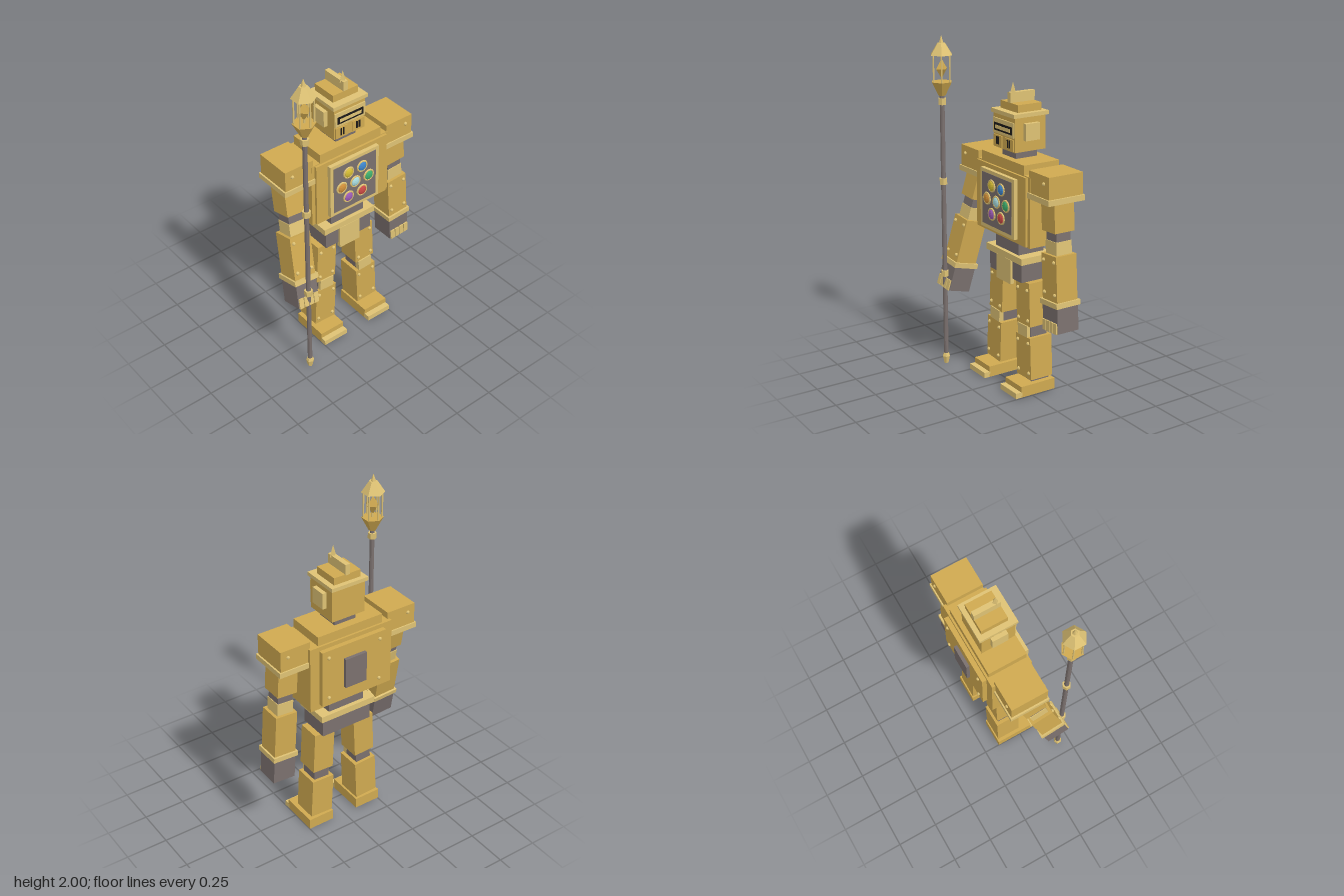
import * as THREE from 'three';

const paint = (color) => new THREE.MeshStandardMaterial({ color, flatShading: true });
const gold = paint(0xcfa950), pale = paint(0xdec274), steel = paint(0x7a706e), black = paint(0x1c1a18);
const MID = -0.075; // depth centre of the body

function add(parent, name, geometry, material, x = 0, y = 0, z = 0) {
  const mesh = new THREE.Mesh(geometry, material);
  mesh.name = name;
  mesh.position.set(x, y, z);
  parent.add(mesh);
  return mesh;
}

// Box given by its extents on each axis
function block(parent, name, material, [x0, x1], [y0, y1], [z0, z1]) {
  return add(parent, name, new THREE.BoxGeometry(x1 - x0, y1 - y0, z1 - z0), material,
    (x0 + x1) / 2, (y0 + y1) / 2, (z0 + z1) / 2);
}

function group(parent, name, x = 0, y = 0, z = 0) {
  const g = new THREE.Group();
  g.name = name;
  g.position.set(x, y, z);
  parent.add(g);
  return g;
}

function rivet(parent, x, y, z) {
  add(parent, 'rivet', new THREE.SphereGeometry(0.011, 8, 6), pale, x, y, z);
}

function rivets(parent, xs, ys, z) {
  for (const x of xs) for (const y of ys) rivet(parent, x, y, z);
}

function buildTorso(root) {
  const t = group(root, 'torso');
  block(t, 'chest', gold, [-0.272, 0.272], [0.9, 1.305], [-0.207, 0.038]);
  block(t, 'breastplate', gold, [-0.25, 0.25], [0.905, 1.3], [0.03, 0.053]);
  block(t, 'collar', gold, [-0.213, 0.213], [1.3, 1.36], [-0.195, 0.04]);
  block(t, 'gemFrame', pale, [-0.172, 0.172], [0.93, 1.275], [0.05, 0.077]);
  block(t, 'gemPanel', steel, [-0.15, 0.15], [0.952, 1.255], [0.05, 0.08]);
  block(t, 'backPlate', gold, [-0.213, 0.213], [0.93, 1.28], [-0.235, -0.2]);
  block(t, 'backHatch', steel, [-0.07, 0.07], [1.01, 1.195], [-0.255, -0.23]);
  rivets(t, [-0.17, 0.17], [0.975, 1.235], -0.236);

  // Six gems in a ring around a central one
  const ring = [0x3fae6c, 0x3f86cc, 0xd6bd35, 0xd0903a, 0x9c5bb8, 0xcc4a45];
  const gem = (color, x, y) => {
    add(t, 'gemSetting', new THREE.TorusGeometry(0.032, 0.006, 6, 16), pale, x, y, 0.081);
    add(t, 'gem', new THREE.SphereGeometry(0.03, 10, 8), paint(color), x, y, 0.08).scale.z = 0.5;
  };
  gem(0xa8dce0, 0, 1.107);
  ring.forEach((color, i) => {
    const a = i * Math.PI / 3;
    gem(color, 0.096 * Math.cos(a), 1.107 + 0.096 * Math.sin(a));
  });

  block(t, 'waist', steel, [-0.118, 0.118], [0.8, 0.9], [-0.16, 0.01]);
  block(t, 'belt', pale, [-0.182, 0.182], [0.773, 0.812], [-0.185, 0.033]);
  block(t, 'pelvis', steel, [-0.163, 0.163], [0.662, 0.775], [-0.167, 0.02]);
  block(t, 'frontFlap', pale, [-0.072, 0.072], [0.63, 0.775], [0.01, 0.035]);
}

function buildHead(root) {
  const h = group(root, 'head');
  block(h, 'neck', steel, [-0.07, 0.07], [1.355, 1.41], [-0.145, -0.005]);
  block(h, 'skull', gold, [-0.107, 0.107], [1.405, 1.602], [-0.175, 0.028]);
  block(h, 'brim', pale, [-0.118, 0.118], [1.6, 1.622], [-0.19, 0.04]);
  block(h, 'cap', gold, [-0.086, 0.086], [1.62, 1.665], [-0.163, -0.005]);
  block(h, 'crest', pale, [-0.015, 0.015], [1.66, 1.722], [-0.165, -0.005]);
  block(h, 'visor', pale, [-0.104, 0.104], [1.487, 1.572], [0.02, 0.036]);
  block(h, 'visorSlot', black, [-0.088, 0.088], [1.503, 1.547], [0.03, 0.039]);
  block(h, 'visorBar', pale, [-0.075, 0.075], [1.514, 1.534], [0.03, 0.041]);
  const spike = add(h, 'spike', new THREE.ConeGeometry(0.021, 0.07, 4), pale, 0, 1.745, -0.03);
  spike.castShadow = false;
  add(h, 'spikeStem', new THREE.CylinderGeometry(0.011, 0.013, 0.055, 6), pale, 0, 1.69, -0.03);
  for (const s of [-1, 1]) {
    add(h, 'ear', new THREE.BoxGeometry(0.03, 0.096, 0.094), pale, s * 0.117, 1.517, MID);
    add(h, 'jawPlate', new THREE.BoxGeometry(0.082, 0.066, 0.014), gold, s * 0.058, 1.443, 0.028);
    for (const x of [0.046, 0.064])
      add(h, 'vent', new THREE.BoxGeometry(0.01, 0.044, 0.008), black, s * x, 1.447, 0.034);
  }
}

// Arm hangs from a pivot at the shoulder; y runs down from 0
function buildArm(root, side, pitch, roll) {
  const label = side > 0 ? 'left' : 'right';
  const pad = group(root, label + 'Shoulder', side * 0.352, 0, MID);
  block(pad, 'shoulderBlock', gold, [-0.094, 0.094], [1.215, 1.345], [-0.112, 0.112]);
  block(pad, 'shoulderRim', pale, [-0.104, 0.104], [1.188, 1.22], [-0.12, 0.12]);
  for (const z of [-0.112, 0.112]) rivet(pad, side * 0.047, 1.3, z);

  const arm = group(root, label + 'Arm', side * 0.365, 1.24, MID);
  arm.rotation.set(pitch, 0, side * roll);
  const w = (r) => [-r, r];
  block(arm, 'upperArm', gold, w(0.062), [-0.222, 0], w(0.065));
  block(arm, 'elbowJoint', steel, w(0.047), [-0.29, -0.215], w(0.047));
  block(arm, 'elbowSleeve', pale, w(0.051), [-0.355, -0.275], w(0.051));
  block(arm, 'forearm', gold, w(0.069), [-0.615, -0.35], w(0.068));
  rivets(arm, [-0.048, 0.048], [-0.385, -0.57], 0.069);
  block(arm, 'cuff', pale, w(0.08), [-0.642, -0.612], w(0.08));
  block(arm, 'hand', steel, w(0.07), [-0.79, -0.64], w(0.07));
  for (let i = 0; i < 4; i++)
    add(arm, 'finger', new THREE.BoxGeometry(0.029, 0.062, 0.03), pale, -0.051 + i * 0.034, -0.76, 0.063);
}

function buildLeg(root, side) {
  const leg = group(root, side > 0 ? 'leftLeg' : 'rightLeg', side * 0.133, 0.68, MID);
  leg.rotation.z = side * 0.05;
  const w = (r) => [-r, r];
  block(leg, 'thigh', gold, w(0.067), [-0.28, -0.02], w(0.068));
  rivets(leg, [-0.046, 0.046], [-0.065, -0.245], 0.069);
  block(leg, 'kneeJoint', steel, w(0.05), [-0.35, -0.27], w(0.055));
  add(leg, 'kneecap', new THREE.BoxGeometry(0.095, 0.07, 0.03), pale, -side * 0.003, -0.312, 0.06);
  block(leg, 'shin', gold, w(0.072), [-0.598, -0.345], w(0.074));
  rivets(leg, [-0.052, 0.052], [-0.38, -0.562], 0.075);
  block(leg, 'ankle', steel, w(0.055), [-0.63, -0.59], w(0.058));

  const foot = group(root, side > 0 ? 'leftFoot' : 'rightFoot', side * 0.168, 0, 0);
  block(foot, 'boot', gold, w(0.083), [0.004, 0.07], [-0.155, 0.077]);
  block(foot, 'toeCap', pale, w(0.083), [0.004, 0.037], [0.07, 0.112]);
}

function buildStaff(root) {
  const s = group(root, 'staff', -0.416, 0, 0.179);
  const hex = (name, top, bottom, y0, y1, mat = pale) =>
    add(s, name, new THREE.CylinderGeometry(top, bottom, y1 - y0, 6), mat, 0, (y0 + y1) / 2, 0);
  add(s, 'pole', new THREE.CylinderGeometry(0.014, 0.014, 1.63, 10), steel, 0, 0.855, 0);
  hex('ferruleTip', 0.024, 0.014, 0, 0.045);
  hex('ferruleTop', 0.016, 0.024, 0.045, 0.065);
  for (const y of [0.58, 1.148, 1.62]) hex('poleRing', 0.025, 0.025, y - 0.018, y + 0.018);
  hex('cup', 0.064, 0.022, 1.655, 1.735, gold);
  hex('roof', 0.024, 0.068, 1.888, 1.955);
  hex('finial', 0, 0.016, 1.95, 2);
  // Cage posts on the six corners
  for (let i = 0; i < 6; i++) {
    const a = i * Math.PI / 3;
    add(s, 'cagePost', new THREE.CylinderGeometry(0.005, 0.005, 0.165, 6), pale,
      0.053 * Math.sin(a), 1.812, 0.053 * Math.cos(a));
  }
  add(s, 'crystal', new THREE.OctahedronGeometry(0.036), gold, 0, 1.808, 0).scale.y = 1.6;
  add(s, 'crystalStem', new THREE.CylinderGeometry(0.006, 0.006, 0.04, 6), pale, 0, 1.75, 0);
}

export function createModel() {
  const root = new THREE.Group();
  root.name = 'armouredRobot';
  buildTorso(root);
  buildHead(root);
  buildArm(root, 1, 0, 0.065);
  buildArm(root, -1, -0.25, 0.07);
  for (const side of [-1, 1]) buildLeg(root, side);
  buildStaff(root);
  return root;
}
